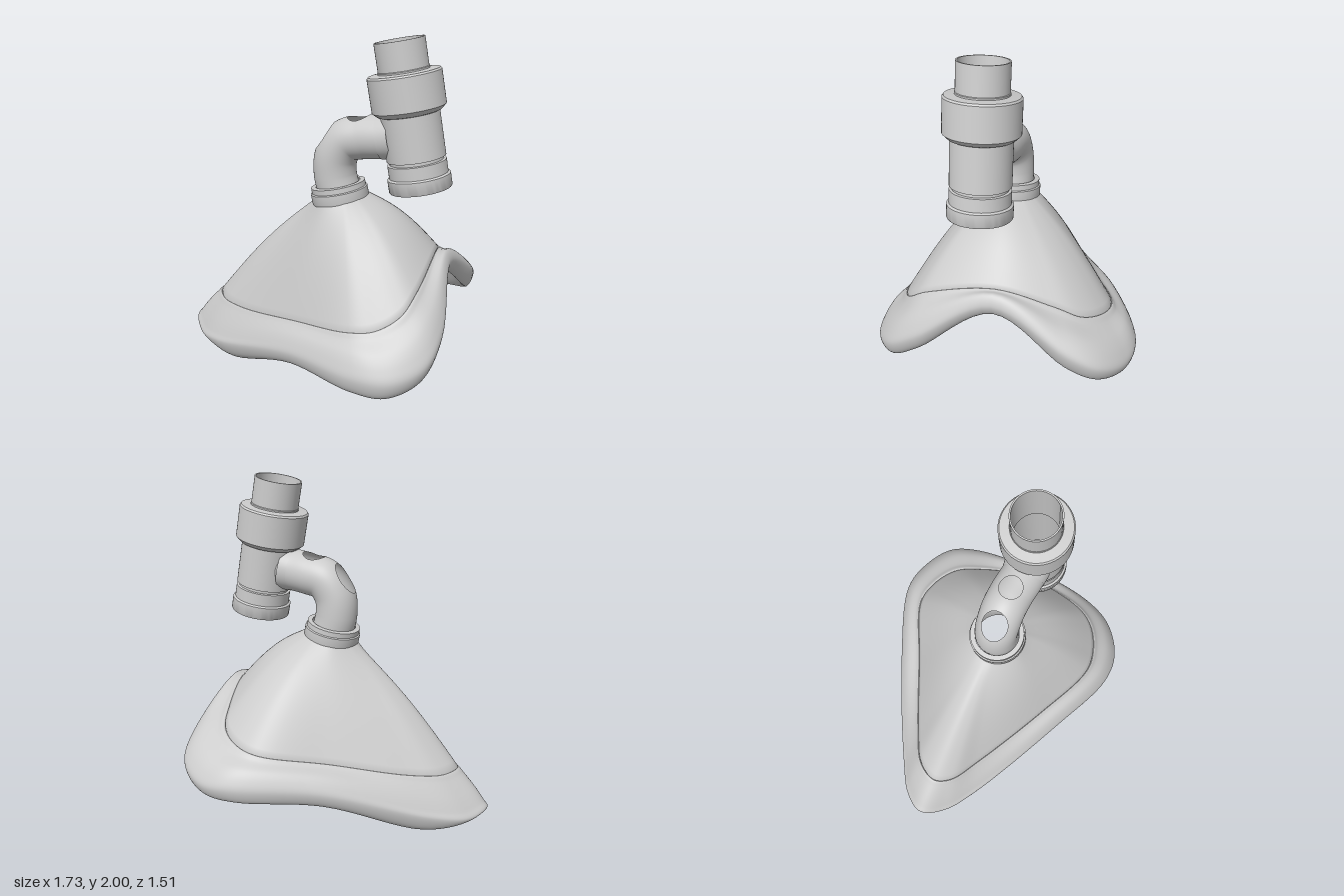
import * as THREE from 'three';
import { toCreasedNormals } from 'three/addons/utils/BufferGeometryUtils.js';

const V = (x, y, z) => new THREE.Vector3(x, y, z);
const material = new THREE.MeshStandardMaterial({ color: 0xcccccc, side: THREE.DoubleSide });
const AROUND = 128;

// Stations round the mask: seam x, y, z | widest rim x, y, z | lowest rim y
const stations = [
  [[-.67, .34, -.04], [-.865, .125, -.06], .09],
  [[-.62, .32, .06], [-.78, .07, .08], .03],
  [[-.45, .32, .17], [-.6, .09, .215], 0],
  [[0, .41, .43], [0, .27, .555], .19],
  [[.36, .475, .6], [.42, .28, .74], .185],
  [[.5, .5, .59], [.62, .28, .735], .18],
  [[.62, .57, .52], [.78, .34, .62], .24],
  [[.675, .66, .4], [.835, .46, .43], .36],
  [[.7, .76, 0], [.79, .71, 0], .64],
  [[.66, .67, -.32], [.862, .51, -.43], .41],
  [[.62, .6, -.46], [.825, .43, -.6], .33],
  [[.5, .55, -.56], [.68, .37, -.72], .29],
  [[.36, .52, -.59], [.48, .37, -.755], .285],
  [[0, .45, -.44], [0, .33, -.585], .24],
  [[-.42, .36, -.26], [-.6, .13, -.305], .04],
  [[-.6, .34, -.16], [-.785, .1, -.19], .05],
].map(([s, o, low]) => ({ seam: V(...s), rim: V(...o), low }));

// Smooth closed loop through one point per station
function loop(pointAt) {
  const curve = new THREE.CatmullRomCurve3(stations.map(pointAt), true);
  return Array.from({ length: AROUND }, (_, i) => curve.getPoint(i / AROUND));
}

// Skin a list of closed loops
function loft(loops) {
  const n = loops[0].length, index = [];
  for (let j = 0; j < loops.length - 1; j++) {
    for (let i = 0; i < n; i++) {
      const a = j * n + i, b = j * n + (i + 1) % n;
      index.push(a, a + n, b, b, a + n, b + n);
    }
  }
  const geometry = new THREE.BufferGeometry().setFromPoints(loops.flat());
  geometry.setIndex(index);
  geometry.computeVertexNormals();
  return geometry;
}

// Run a smooth cross-section through matching loops
function smoothSections(keys, steps) {
  const curves = keys[0].map((_, i) => new THREE.CatmullRomCurve3(keys.map(k => k[i])));
  return Array.from({ length: steps + 1 }, (_, j) => curves.map(c => c.getPoint(j / steps)));
}

function addMesh(parent, name, geometry) {
  const mesh = new THREE.Mesh(geometry, material);
  mesh.name = name;
  parent.add(mesh);
  return mesh;
}

function turned(profile) {
  const points = profile.map(([r, y]) => new THREE.Vector2(r, y));
  return toCreasedNormals(new THREE.LatheGeometry(points, 64), 0.6);
}

// Bent tube with oval holes: vertices inside a hole slide over the tube to its rim
function tubeWithHoles(path, radius, holes) {
  const geometry = new THREE.TubeGeometry(path, 90, radius, 72);
  const pos = geometry.attributes.position;
  const spine = path.getSpacedPoints(240);
  const inside = new Array(pos.count).fill(false);
  const onTube = p => {
    const nearest = spine.reduce((a, b) => (a.distanceToSquared(p) < b.distanceToSquared(p) ? a : b));
    return p.sub(nearest).setLength(radius).add(nearest);
  };
  for (let i = 0; i < pos.count; i++) {
    const p = V().fromBufferAttribute(pos, i);
    for (const { centre, axis, length, width } of holes) {
      for (let pass = 0; pass < 5; pass++) {
        const d = p.clone().sub(centre), along = d.dot(axis);
        const radial = d.addScaledVector(axis, -along);
        const reach = Math.hypot(radial.x / length, radial.y / length, radial.z / width);
        if (along < -0.1 || (!inside[i] && reach >= 1) || reach < 0.3) break;
        inside[i] = true;
        onTube(p.addScaledVector(radial, 1 / reach - 1));
      }
      // Vertices near the middle are only dropped
      const d = p.clone().sub(centre);
      if (d.dot(axis) > -0.1 && d.length() < width * 0.5) inside[i] = true;
      if (inside[i]) break;
    }
    pos.setXYZ(i, p.x, p.y, p.z);
  }
  const old = geometry.index.array, kept = [];
  for (let i = 0; i < old.length; i += 3) {
    const face = [old[i], old[i + 1], old[i + 2]];
    if (!face.every(v => inside[v])) kept.push(...face);
  }
  geometry.setIndex(kept);
  return geometry;
}

export function createModel() {
  const group = new THREE.Group();
  group.name = 'breathingMask';

  // Soft cushion: rolls from the seam over the rim and back up inside
  const toward = (s, t, lift) => s.seam.clone().lerp(s.rim, t).add(V(0, lift, 0));
  const inward = (s, distance, y) => {
    const d = s.seam.clone().sub(s.rim).setY(0).normalize();
    return s.rim.clone().addScaledVector(d, distance).setY(y);
  };
  const fullness = s => THREE.MathUtils.smoothstep(s.rim.x, -.7, .2);
  const flap = s => .05 + .06 * Math.max(0, -s.rim.x);
  const cushionKeys = [
    loop(s => toward(s, -.04, -.03)),
    loop(s => toward(s, .03, .012)),
    loop(s => toward(s, .2, .018)),
    loop(s => toward(s, .6, .02 + .025 * fullness(s))),
    loop(s => toward(s, .86, .01 + .025 * fullness(s))),
    loop(s => s.rim.clone()),
    loop(s => inward(s, flap(s) * .4, s.low + (s.rim.y - s.low) * .25)),
    loop(s => inward(s, flap(s), s.low)),
    loop(s => inward(s, flap(s) + .035, s.low + .03)),
    loop(s => toward(s, .35, -.045)),
    loop(s => toward(s, -.04, -.03)),
  ];
  addMesh(group, 'cushion', loft(smoothSections(cushionKeys, 60)));

  // Domed shell: blends from the seam to the round neck
  const neck = V(.14, 1.06, .05);
  const shellLoops = [loop(s => toward(s, 0, -.03))];
  for (let j = 0; j <= 24; j++) {
    const t = j / 24;
    shellLoops.unshift(loop(({ seam }) => {
      const a = Math.atan2(seam.z - neck.z, seam.x - neck.x);
      const end = V(Math.cos(a) * .155, Math.cos(a) * .03, Math.sin(a) * .155).add(neck);
      const p = seam.clone().lerp(end, t);
      p.y += .045 * Math.sin(Math.PI * t) + .012 * (1 - t);
      return p;
    }));
  }
  addMesh(group, 'shell', loft(shellLoops));

  // Neck collar
  const collar = addMesh(group, 'neckCollar', turned([
    [.135, -.02], [.162, -.02], [.166, -.005], [.166, .045], [.158, .05], [.158, .08], [.13, .082], [.135, -.02],
  ]));
  collar.position.copy(neck);
  collar.rotation.z = .2;

  // Elbow with two vent holes
  const path = new THREE.CatmullRomCurve3([
    V(.14, 1.07, .05), V(.108, 1.2, .05), V(.117, 1.31, .055), V(.18, 1.4, .06),
    V(.28, 1.426, .07), V(.37, 1.438, .085), V(.46, 1.452, .095),
  ]);
  addMesh(group, 'elbow', tubeWithHoles(path, .124, [
    { centre: V(.04, 1.425, .058), axis: V(-.88, .47, 0).normalize(), length: .1, width: .074 },
    { centre: V(.25, 1.545, .068), axis: V(-.2, .98, 0).normalize(), length: .066, width: .066 },
  ]));

  // Flange where the elbow meets the valve
  const flange = addMesh(group, 'elbowFlange', new THREE.CylinderGeometry(.133, .125, .07, 48, 1, true));
  flange.position.set(.415, 1.444, .09);
  flange.rotation.z = -Math.PI / 2 + .178;

  // Upright valve: closed base, groove, body, wide collar and open hollow pipe
  const valve = addMesh(group, 'valve', turned([
    [0, 0], [.172, 0], [.176, .006], [.176, .075], [.164, .083], [.164, .155], [.15, .158], [.15, .173],
    [.164, .176], [.164, .425], [.178, .43], [.204, .455], [.204, .64], [.196, .65], [.142, .655],
    [.142, .663], [.139, .667], [.139, .823], [.13, .823], [.13, .5], [.145, .49], [.145, .02], [0, .02],
  ]));
  valve.position.set(.62, 1.165, .097);
  valve.rotation.z = .178;

  return group;
}
